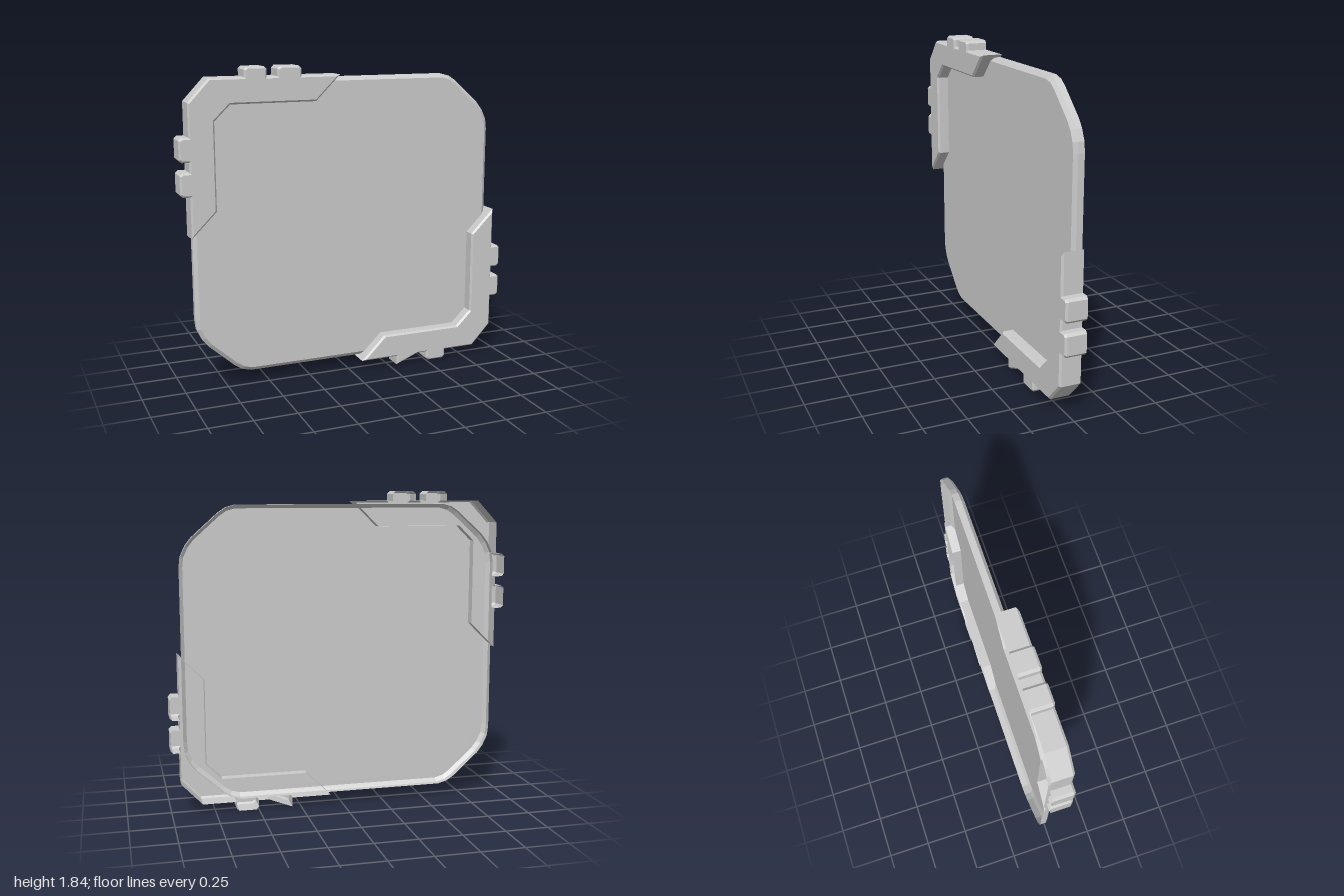
import * as THREE from 'three';

const BACK = -0.0625, CENTRE_Y = 0.9175;
const material = new THREE.MeshStandardMaterial({ color: 0xcccccc, flatShading: true, side: THREE.DoubleSide });

// Moves a counter-clockwise outline inward by d with mitred corners
function inset(points, d) {
  const n = points.length;
  const normal = (a, b) => new THREE.Vector2(a.y - b.y, b.x - a.x).normalize();
  return points.map((p, i) => {
    const n1 = normal(points[(i + n - 1) % n], p);
    const n2 = normal(p, points[(i + 1) % n]);
    return p.clone().addScaledVector(n1.clone().add(n2), d / (1 + n1.dot(n2)));
  });
}

// Open-backed tray: side wall, front bevel and front face
function tray(name, outline, front, bevel, bevelDepth) {
  const points = outline.map(([x, y]) => new THREE.Vector2(x, y));
  const face = inset(points, bevel);
  const rings = [[points, BACK], [points, front - bevelDepth], [face, front]];
  const pos = [], n = points.length;
  for (let r = 0; r < 2; r++) {
    for (let i = 0; i < n; i++) {
      const j = (i + 1) % n;
      const [lo, z0] = rings[r], [hi, z1] = rings[r + 1];
      const a = [lo[i].x, lo[i].y, z0], b = [lo[j].x, lo[j].y, z0];
      const c = [hi[j].x, hi[j].y, z1], d = [hi[i].x, hi[i].y, z1];
      pos.push(...a, ...b, ...c, ...a, ...c, ...d);
    }
  }
  for (const tri of THREE.ShapeUtils.triangulateShape(face, [])) {
    for (const k of tri) pos.push(face[k].x, face[k].y, front);
  }
  const geometry = new THREE.BufferGeometry();
  geometry.setAttribute('position', new THREE.Float32BufferAttribute(pos, 3));
  geometry.computeVertexNormals();
  const mesh = new THREE.Mesh(geometry, material);
  mesh.name = name;
  return mesh;
}

// Rectangular panel with softened corner chamfers
function panelOutline() {
  const corner = [[0.925, 0.5], [0.918, 0.56], [0.89, 0.62], [0.855, 0.665],
    [0.705, 0.8], [0.66, 0.83], [0.605, 0.845]];
  const flipped = corner.slice().reverse();
  return [
    ...corner,
    ...flipped.map(([x, y]) => [-x, y]),
    ...corner.map(([x, y]) => [-x, -y]),
    ...flipped.map(([x, y]) => [x, -y]),
  ];
}

// Tab profile from a down to b, standing on a base line
function tab(a, b, base, height) {
  const c = 0.015;
  return [[a, base], [a, base + height - c], [a - c, base + height],
    [b + c, base + height], [b, base + height - c], [b, base]];
}

// Angled corner bracket with two tabs on each outer edge
function bracketOutline(wedgeTab) {
  const top = 0.8625, side = 0.945;
  const firstTab = wedgeTab
    ? [[-0.3, top], [-0.3, top + 0.055], [-0.44, top]]
    : tab(-0.3, -0.44, top, 0.055);
  const sideTab = (a, b) => tab(a, b, side, 0.055).map(([t, h]) => [-h, t]);
  return [
    [-0.07, top], ...firstTab, ...tab(-0.5, -0.63, top, 0.055),
    [-0.825, top], [-side, 0.735],
    ...sideTab(0.55, 0.415), ...sideTab(0.36, 0.225),
    [-side, -0.01], [-0.8, 0.135], [-0.8, 0.63], [-0.71, 0.718], [-0.215, 0.718],
  ];
}

export function createModel() {
  const model = new THREE.Group();
  model.name = 'bracketedPanel';

  model.add(tray('panel', panelOutline(), -0.008, 0.022, 0.018));
  model.add(tray('upperBracket', bracketOutline(false), 0.0625, 0.01, 0.012));

  // Lower bracket is the upper one turned half way round
  const lower = tray('lowerBracket', bracketOutline(true), 0.0625, 0.01, 0.012);
  lower.rotation.z = Math.PI;
  model.add(lower);

  for (const part of model.children) part.position.y = CENTRE_Y;
  return model;
}
